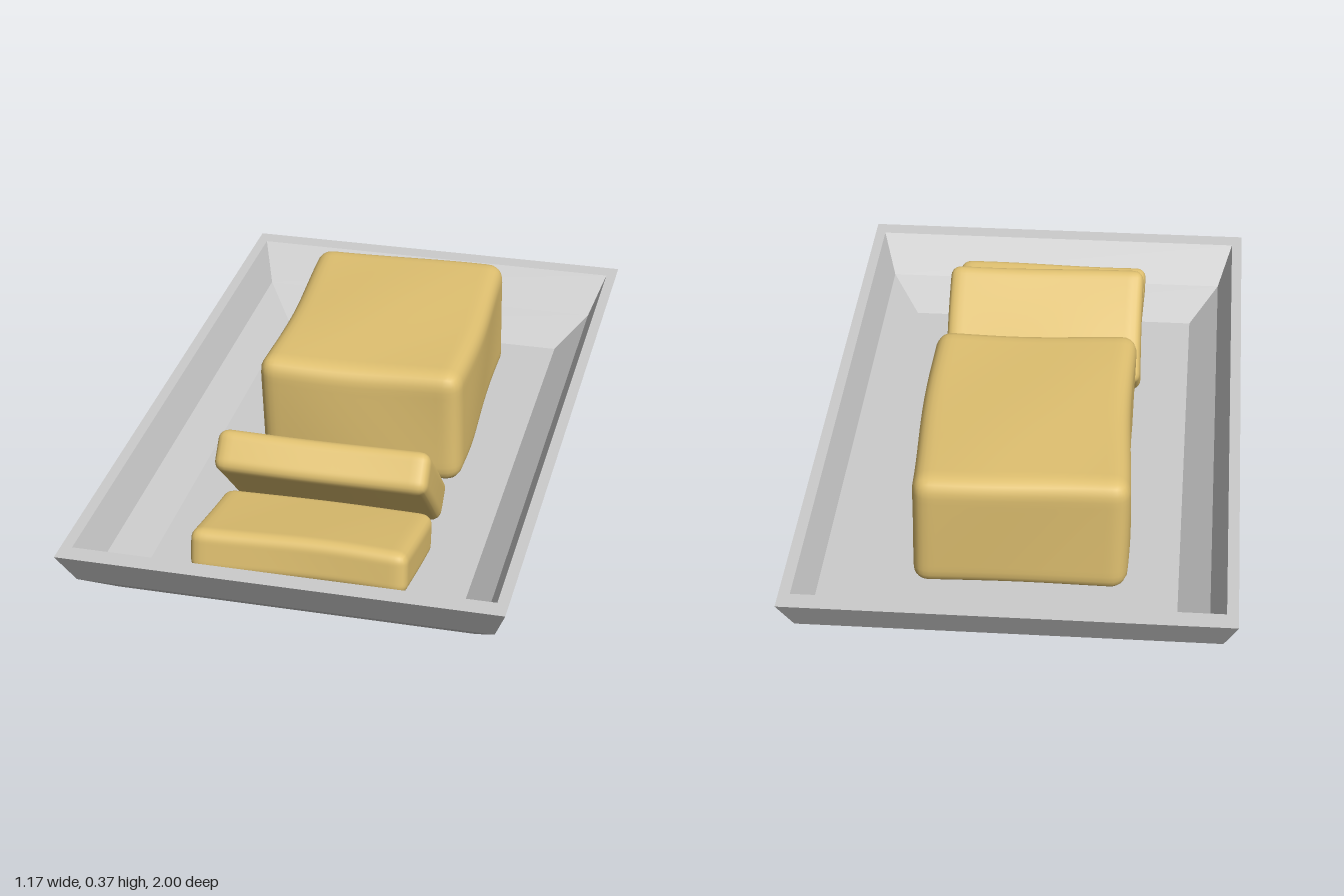
import * as THREE from 'three';
import { mergeVertices } from 'three/addons/utils/BufferGeometryUtils.js';

const dishMat = new THREE.MeshStandardMaterial({ color: 0xcccccc, flatShading: true });
const butterMat = new THREE.MeshStandardMaterial({ color: 0xdfc070 });

function mesh(name, geometry, material) {
  const m = new THREE.Mesh(geometry, material);
  m.name = name;
  return m;
}

// Joins rectangular rings [halfX, halfZ, y] into one flat-sided surface
function rectLoft(rings) {
  const pos = [];
  const corner = ([x, z, y], i) => [[x, y, z], [x, y, -z], [-x, y, -z], [-x, y, z]][i % 4];
  for (let r = 0; r < rings.length - 1; r++) {
    for (let i = 0; i < 4; i++) {
      const a = corner(rings[r], i), b = corner(rings[r], i + 1);
      const c = corner(rings[r + 1], i + 1), d = corner(rings[r + 1], i);
      if (rings[r][0] > 0) pos.push(...a, ...b, ...c);
      if (rings[r + 1][0] > 0) pos.push(...a, ...c, ...d);
    }
  }
  const g = new THREE.BufferGeometry();
  g.setAttribute('position', new THREE.Float32BufferAttribute(pos, 3));
  g.computeVertexNormals();
  return g;
}

// Soft block: rounded edges plus gentle waves across the surface
function softBlock(w, h, d, radius, wave, phase, adjust) {
  let g = new THREE.BoxGeometry(w, h, d, 36, 20, 36);
  g.deleteAttribute('normal');
  g.deleteAttribute('uv');
  g = mergeVertices(g);
  const p = g.attributes.position, v = new THREE.Vector3(), core = new THREE.Vector3();
  const lim = new THREE.Vector3(w / 2 - radius, h / 2 - radius, d / 2 - radius);
  const neg = lim.clone().negate();
  for (let i = 0; i < p.count; i++) {
    v.fromBufferAttribute(p, i);
    core.copy(v).clamp(neg, lim);
    v.sub(core).setLength(radius).add(core);
    const { x, y, z } = v;
    v.x += wave * Math.sin(7 * z + 5 * y + phase);
    v.y += wave * Math.sin(9 * x + phase + 1.3) * Math.cos(6 * z + phase);
    v.z += wave * Math.sin(8 * x + 6 * y + phase + 2);
    if (adjust) adjust(v);
    p.setXYZ(i, v.x, v.y, v.z);
  }
  g.computeVertexNormals();
  return g;
}

function rect(shape, hx, hz) {
  shape.moveTo(-hx, -hz).lineTo(hx, -hz).lineTo(hx, hz).lineTo(-hx, hz).closePath();
  return shape;
}

export function createModel() {
  const model = new THREE.Group();
  model.name = 'butterDish';

  // Dish: underside, outer walls, rim, inner walls, floor
  model.add(mesh('dish', rectLoft([
    [0, 0, 0.01], [0.48, 0.82, 0.01], [0.55, 0.94, 0.1], [0.585, 1, 0.2],
    [0.555, 0.945, 0.2], [0.515, 0.855, 0.1], [0.43, 0.737, 0.03], [0, 0, 0.03],
  ]), dishMat));

  // Thin raised foot frame under the dish
  const frame = rect(new THREE.Shape(), 0.425, 0.785);
  frame.holes.push(rect(new THREE.Path(), 0.405, 0.765));
  const foot = mesh('footFrame', new THREE.ExtrudeGeometry(frame, { depth: 0.011, bevelEnabled: false }), dishMat);
  foot.rotation.x = -Math.PI / 2;
  foot.position.set(-0.013, 0, 0.005);
  model.add(foot);

  // Main block, with a slight sag along one lower edge
  const block = mesh('butterBlock', softBlock(0.575, 0.335, 0.78, 0.045, 0.006, 0.4, (v) => {
    if (v.y < -0.1) v.y -= 0.022 * Math.exp(-(((v.x - 0.24) / 0.05) ** 2) - ((v.z - 0.18) / 0.12) ** 2);
    else if (v.y > 0.1) v.y += 0.004 * Math.cos(4 * v.x);
  }), butterMat);
  block.position.set(0.002, 0.185, -0.258);
  block.rotation.y = 0.012;
  model.add(block);

  // Two cut slices: one leaning, one lying against the front wall
  const slices = [
    ['leaningSlice', 0.35, 0, 0.188, 0.42, -0.75, 1.1],
    ['lyingSlice', 0.325, 0.005, 0.118, 0.647, -0.18, 2.6],
  ];
  for (const [name, length, x, y, z, tilt, phase] of slices) {
    const slice = mesh(name, softBlock(0.58, 0.118, length, 0.03, 0.004, phase), butterMat);
    slice.position.set(x, y, z);
    slice.rotation.x = tilt;
    model.add(slice);
  }
  return model;
}
